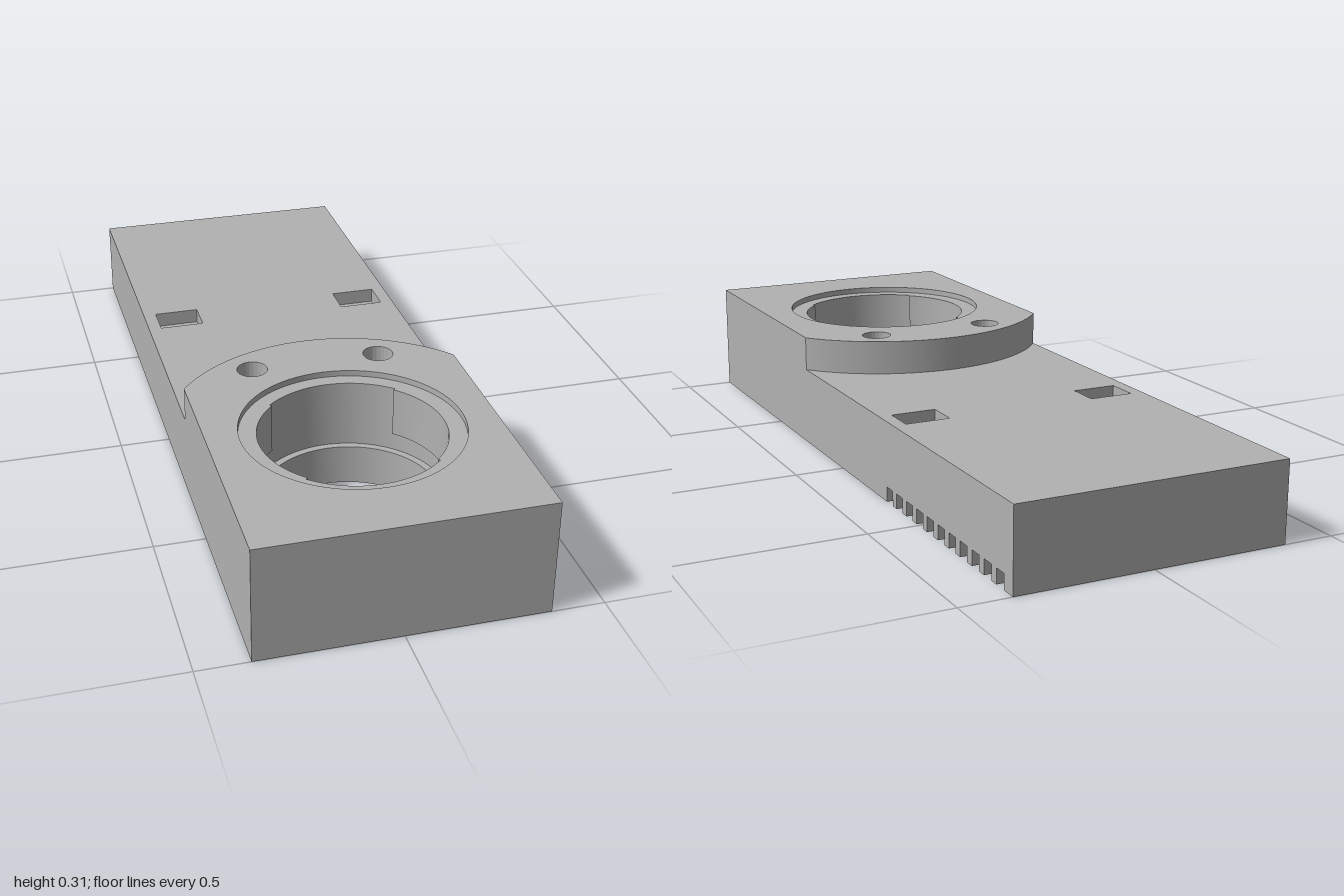
import * as THREE from 'three';
import { toCreasedNormals } from 'three/addons/utils/BufferGeometryUtils.js';

const W = 0.365, L = 1, WALL = 0.06;      // half width, half length, wall thickness
const BORE_Z = 0.555, COLLAR_R = 0.283;   // bore centre and collar radius

export function createModel() {
  const group = new THREE.Group();
  const grey = new THREE.MeshStandardMaterial({ color: 0xb2b2b2 });
  grey.name = 'grey';

  // Plan shapes are drawn in (x, -z) and extruded upwards
  const poly = (pts) => new THREE.Shape(pts.map(([x, z]) => new THREE.Vector2(x, -z)));
  const rect = (x0, x1, z0, z1) => poly([[x0, z1], [x1, z1], [x1, z0], [x0, z0]]);
  const circle = (x, z, r) => new THREE.Shape().absarc(x, -z, r, 0, Math.PI * 2, false);
  const slab = (name, shape, y0, y1, holes = []) => {
    shape.holes.push(...holes);
    const geo = new THREE.ExtrudeGeometry(shape, { depth: y1 - y0, bevelEnabled: false, curveSegments: 48 });
    geo.rotateX(-Math.PI / 2);
    geo.translate(0, y0, 0);
    const mesh = new THREE.Mesh(toCreasedNormals(geo, 0.5), grey);
    mesh.name = name;
    group.add(mesh);
  };
  const bore = () => circle(0, BORE_Z, COLLAR_R);

  // Lower rim, open on one side where the vent slots are
  const iw = W - WALL, il = L - WALL;
  const slots = 11, slotW = 0.037, zA = -0.957, zB = -0.305;
  const pitch = (zB - zA - slotW) / (slots - 1);
  const slotTop = 0.04, ceiling = 0.077;
  slab('lowerRim', poly([
    [W, zB], [W, L], [-W, L], [-W, -L], [W, -L], [W, zA],
    [iw, zA], [iw, -il], [-iw, -il], [-iw, il], [iw, il], [iw, zB],
  ]), 0, slotTop);
  for (let i = 0; i < slots - 1; i++) {
    const z = zA + i * pitch + slotW;
    slab('ventTooth', rect(iw, W, z, z + pitch - slotW), 0, slotTop);
  }
  slab('upperRim', rect(-W, W, -L, L), slotTop, ceiling, [rect(-iw, iw, -il, il)]);

  // Main plate, its top layer with two blind pockets
  const plateTop = 0.215, pocketFloor = 0.175, top = 0.308;
  slab('plate', rect(-W, W, -L, L), ceiling, pocketFloor, [bore()]);
  slab('plateTop', rect(-W, W, -L, L), pocketFloor, plateTop, [
    bore(), rect(0.208, 0.33, -0.35, -0.26), rect(-0.33, -0.208, -0.35, -0.26),
  ]);

  // Raised front block with rounded rear edge and two blind pin holes
  const R = 0.465, a = Math.acos(W / R);
  const block = new THREE.Shape();
  block.moveTo(-W, -L);
  block.lineTo(W, -L);
  block.absarc(0, -BORE_Z, R, a, Math.PI - a, false);
  block.closePath();
  slab('raisedBlock', block, plateTop, top, [bore(), circle(0.172, 0.21, 0.04), circle(-0.172, 0.21, 0.04)]);

  // Collar lining the bore: narrow lip below, wider seat above, shallow recess at the top
  const lipTop = 0.11, seatTop = 0.292;
  slab('collarLip', bore(), 0, lipTop, [circle(0, BORE_Z, 0.225)]);
  slab('collarSeat', bore(), lipTop, seatTop, [circle(0, BORE_Z, 0.244)]);

  // Thin grip pads on both sides of the bore
  const half = THREE.MathUtils.degToRad(47);
  for (const mid of [0, Math.PI]) {
    const pad = new THREE.Shape();
    pad.absarc(0, -BORE_Z, 0.25, mid - half, mid + half, false);
    pad.absarc(0, -BORE_Z, 0.237, mid + half, mid - half, true);
    pad.closePath();
    slab('gripPad', pad, 0.16, seatTop);
  }
  return group;
}
